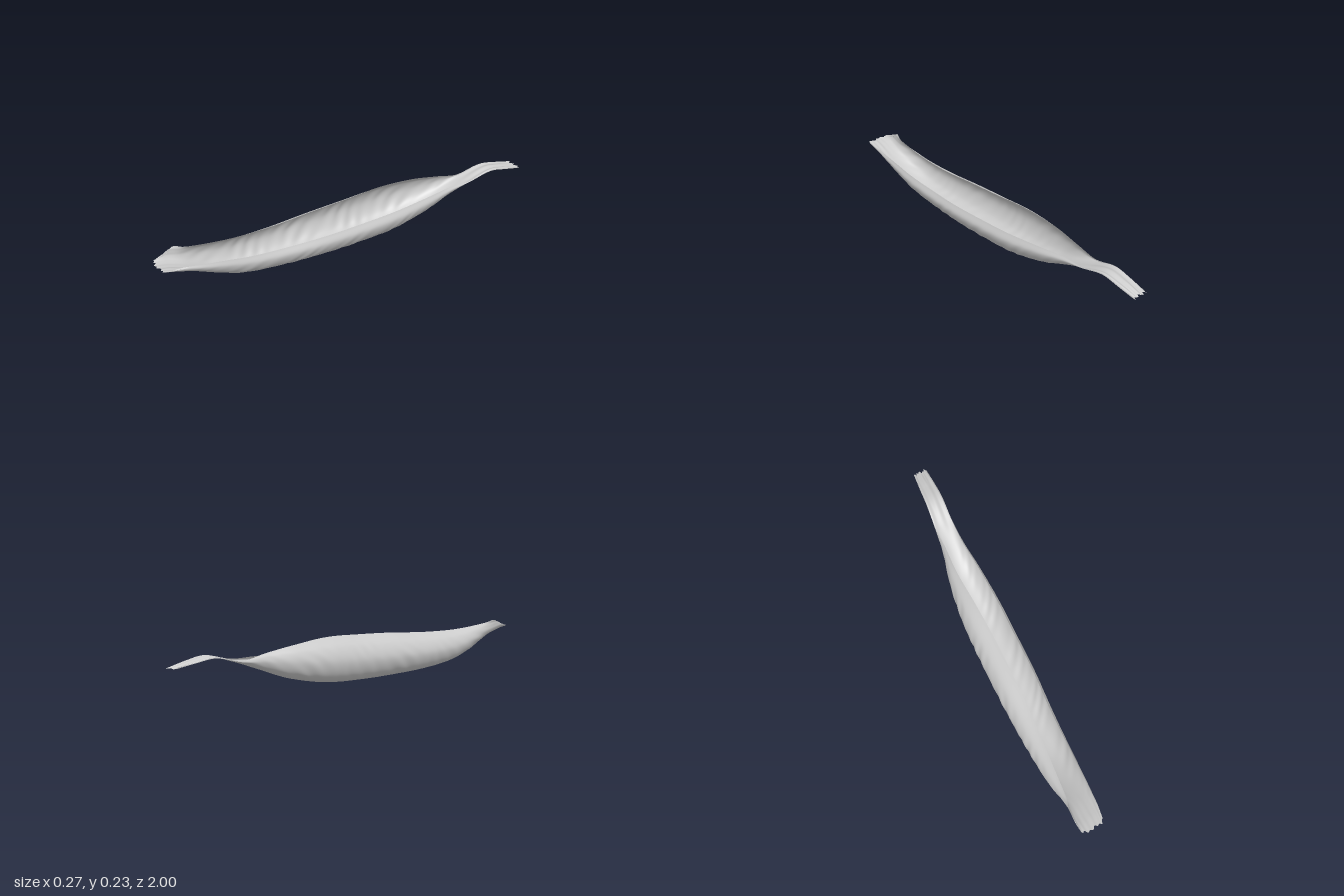
import * as THREE from 'three';

// Stations along the pod:
// z, left x, right x, keel y, left rim y, right rim y, left rim x, right rim x
const STATIONS = [
  [1.0, -0.125, -0.005, 0.18, 0.195, 0.186, -0.125, -0.005],
  [0.94, -0.128, 0.005, 0.165, 0.225, 0.184, -0.128, 0.004],
  [0.85, -0.12, 0.014, 0.135, 0.215, 0.178, -0.112, 0.01],
  [0.7, -0.134, 0.032, 0.07, 0.2, 0.16, -0.09, 0.025],
  [0.58, -0.135, 0.046, 0.033, 0.195, 0.143, -0.073, 0.036],
  [0.4, -0.133, 0.066, 0.013, 0.2, 0.132, -0.05, 0.052],
  [0.2, -0.125, 0.09, 0.005, 0.215, 0.132, -0.033, 0.076],
  [0.0, -0.112, 0.105, 0.004, 0.225, 0.136, -0.02, 0.09],
  [-0.2, -0.093, 0.117, 0.014, 0.231, 0.144, -0.015, 0.102],
  [-0.4, -0.053, 0.116, 0.055, 0.213, 0.157, -0.01, 0.104],
  [-0.55, -0.008, 0.108, 0.11, 0.19, 0.165, 0.008, 0.1],
  [-0.67, 0.016, 0.112, 0.155, 0.168, 0.166, 0.018, 0.11],
  [-0.8, 0.036, 0.125, 0.196, 0.192, 0.192, 0.036, 0.125],
  [-0.9, 0.05, 0.131, 0.185, 0.18, 0.176, 0.05, 0.131],
  [-1.0, 0.066, 0.133, 0.162, 0.166, 0.158, 0.066, 0.133],
];

// Smooth cubic interpolation of one station column at z
function sample(z, col) {
  const n = STATIONS.length;
  let i = 0;
  while (i < n - 2 && STATIONS[i + 1][0] > z) i++;
  const at = (k) => STATIONS[THREE.MathUtils.clamp(k, 0, n - 1)];
  const slope = (k) => (at(k + 1)[col] - at(k - 1)[col]) / (at(k + 1)[0] - at(k - 1)[0]);
  const a = at(i), b = at(i + 1), h = b[0] - a[0], t = (z - a[0]) / h;
  const t2 = t * t, t3 = t2 * t;
  return (2 * t3 - 3 * t2 + 1) * a[col] + (t3 - 2 * t2 + t) * h * slope(i)
    + (3 * t2 - 2 * t3) * b[col] + (t3 - t2) * h * slope(i + 1);
}

// Open cross-section running from the left rim, under the keel, to the right rim
function section(z) {
  const [xl, xr, yb, yL, yR, rl, rr] = [1, 2, 3, 4, 5, 6, 7].map((c) => sample(z, c));
  const mid = (xl + xr) / 2, half = (xr - xl) / 2;
  const hL = yL - yb, hR = yR - yb;
  return new THREE.CatmullRomCurve3([
    [rl, yL],
    [xl * 0.7 + rl * 0.3, yb + hL * 0.8],
    [xl, yb + hL * 0.5],
    [mid - half * 0.8, yb + hL * 0.18],
    [mid - half * 0.4, yb + hL * 0.035],
    [mid + half * 0.08, yb],
    [mid + half * 0.5, yb + hR * 0.09],
    [mid + half * 0.83, yb + hR * 0.34],
    [xr, yb + hR * 0.7],
    [rr, yR],
  ].map(([x, y]) => new THREE.Vector3(x, y, 0)), false, 'centripetal');
}

function createShell(rows, cols) {
  const positions = [], indices = [];
  for (let j = 0; j <= rows; j++) {
    const z = 1 - (2 * j) / rows;
    const curve = section(z);
    const cx = (sample(z, 1) + sample(z, 2)) / 2;
    const cy = (sample(z, 3) + sample(z, 5)) / 2;
    // Wrinkles are strongest on the body and fade towards both ends
    const body = THREE.MathUtils.smoothstep(z, -0.72, -0.4)
      * (1 - THREE.MathUtils.smoothstep(z, 0.65, 0.95));
    const frontEnd = THREE.MathUtils.smoothstep(z, 0.8, 1);
    const backEnd = THREE.MathUtils.smoothstep(-z, 0.85, 1);
    for (let i = 0; i <= cols; i++) {
      const u = i / cols, s = Math.abs(u - 0.5) * 2;
      const p = curve.getPoint(u);
      // Slanted creases sweeping up both flanks
      const phase = z * 75 + s * 16 + 1.7 * Math.sin(z * 11 + u * 5);
      const crease = Math.sin(phase) * (0.6 + 0.4 * Math.sin(z * 23 + u * 9));
      const k = 1 + 0.022 * body * crease * Math.sin(Math.PI * Math.min(1, s * 1.2));
      const x = cx + (p.x - cx) * k;
      // Lengthwise grain on the flat tail
      const grain = 0.0025 * Math.sin(u * 26) * THREE.MathUtils.smoothstep(-z, 0.6, 0.8);
      const y = cy + (p.y - cy) * k + grain;
      // Rounded, ragged ends
      const jag = 0.009 * (1 + Math.sin(u * 41) * Math.cos(u * 17));
      positions.push(x, y, z - frontEnd * (jag + 0.06 * s ** 3) + backEnd * jag);
    }
  }
  for (let j = 0; j < rows; j++) {
    for (let i = 0; i < cols; i++) {
      const a = j * (cols + 1) + i, b = a + cols + 1;
      indices.push(a, b, a + 1, a + 1, b, b + 1);
    }
  }
  const geometry = new THREE.BufferGeometry();
  geometry.setAttribute('position', new THREE.Float32BufferAttribute(positions, 3));
  geometry.setIndex(indices);
  geometry.computeVertexNormals();
  return geometry;
}

export function createModel() {
  const group = new THREE.Group();
  group.name = 'driedPod';
  // One thin curled sheet: open hull, pinched neck and flat tail
  const shell = new THREE.Mesh(
    createShell(260, 72),
    new THREE.MeshStandardMaterial({ color: 0xcccccc, side: THREE.DoubleSide }),
  );
  shell.name = 'podShell';
  group.add(shell);
  return group;
}
